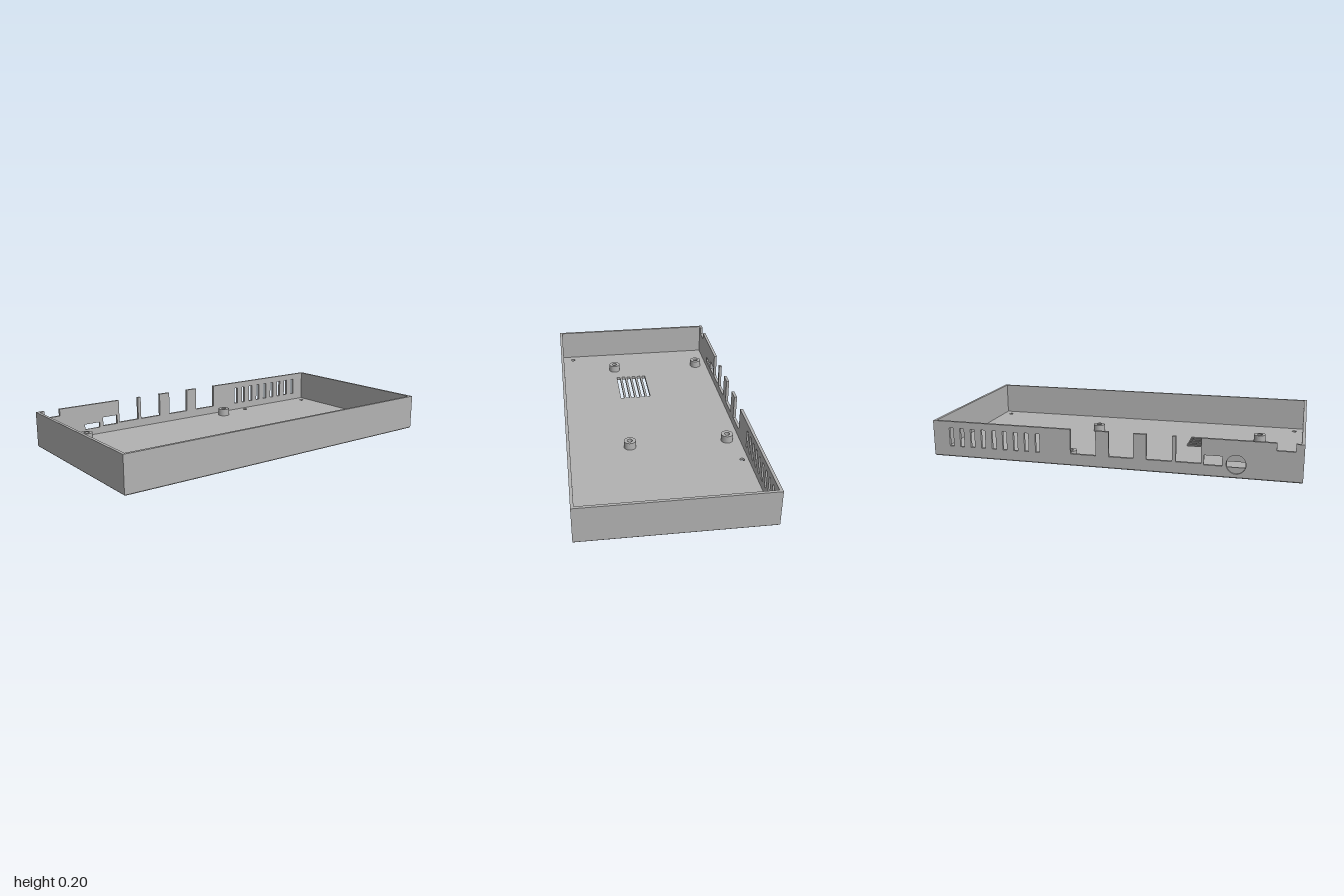
import * as THREE from 'three';

const W = 1, D = 0.5, H = 0.2, T = 0.016; // half width, half depth, height, wall
const FLOOR = 0.018, SKIN = 0.005;

const poly = (pts, Type = THREE.Path) => new Type(pts.map(([x, y]) => new THREE.Vector2(x, y)));
const rect = (x0, y0, x1, y1, Type) => poly([[x0, y0], [x1, y0], [x1, y1], [x0, y1]], Type);
const circle = (x, y, r, Type = THREE.Path) => new Type().absarc(x, y, r, 0, Math.PI * 2, false);

function extrude(shape, holes, depth) {
  shape.holes.push(...holes);
  return new THREE.ExtrudeGeometry(shape, { depth, bevelEnabled: false, curveSegments: 16 });
}

// Extrudes a plan drawn in (x, z) between two heights
function slab(shape, holes, y0, y1) {
  return extrude(shape, holes, y1 - y0).rotateX(Math.PI / 2).translate(0, y1, 0);
}

export function createModel() {
  const group = new THREE.Group();
  const grey = new THREE.MeshStandardMaterial({ color: 0xb2b2b2 });
  grey.name = 'grey plastic';
  const add = (name, geometry) => {
    const mesh = new THREE.Mesh(geometry, grey);
    mesh.name = name;
    group.add(mesh);
    return mesh;
  };

  const posts = [[-0.743, -0.41], [0.235, -0.41], [-0.743, 0.147], [0.235, 0.147]];
  const screws = [[0.443, -0.45], [0.936, -0.425], [-0.936, 0.42], [0.936, 0.42]];
  const grille = () => Array.from({ length: 6 }, (_, i) => {
    const z = -0.035 + i * 0.0332;
    return rect(-0.628, z - 0.01, -0.342, z + 0.01);
  });

  // Floor with screw holes and a ventilation grille
  add('floor', slab(rect(-W, -D, W, D, THREE.Shape),
    [...screws.map(([x, z]) => circle(x, z, 0.013)), ...grille()], SKIN, FLOOR));

  // Underside with chamfered rim and shallow recesses below posts and screws
  const under = slab(rect(-W, -D, W, D, THREE.Shape), [
    ...screws.map(([x, z]) => circle(x, z, 0.022)),
    ...posts.map(([x, z]) => circle(x, z, 0.043)),
    ...grille()], 0, SKIN);
  const p = under.attributes.position;
  for (let i = 0; i < p.count; i++) {
    if (p.getY(i) > SKIN / 2) continue;
    if (Math.abs(p.getX(i)) > 0.999) p.setX(i, Math.sign(p.getX(i)) * (W - SKIN));
    if (Math.abs(p.getZ(i)) > 0.499) p.setZ(i, Math.sign(p.getZ(i)) * (D - SKIN));
  }
  under.computeVertexNormals();
  add('underside', under);

  // Front and side walls as one U-shaped plan
  const b = -D + T;
  add('frontAndSideWalls', slab(poly([
    [-W, b], [-W + T, b], [-W + T, D - T], [W - T, D - T], [W - T, b], [W, b], [W, D], [-W, D],
  ], THREE.Shape), [], FLOOR, H));

  // Back wall: open notches [x0, x1, sill], port windows and vent slots
  const notches = [[-0.957, -0.866, 0.16], [-0.49, -0.36, 0.065], [-0.34, -0.205, 0.065],
    [-0.135, -0.003, 0.065], [0.068, 0.207, 0.065]];
  const wallShape = () => {
    const pts = [[W, FLOOR], [-W, FLOOR], [-W, H]];
    for (const [x0, x1, sill] of notches) pts.push([x0, H], [x0, sill], [x1, sill], [x1, H]);
    pts.push([W, H]);
    return poly(pts.reverse(), THREE.Shape);
  };
  const wallHoles = () => {
    const holes = [rect(-0.598, 0.06, -0.505, 0.112)];
    for (let i = 0; i < 9; i++) {
      const x = 0.392 + i * 0.0627;
      holes.push(rect(x - 0.012, 0.06, x + 0.012, 0.163));
    }
    return holes;
  };
  // The power port has a round recess outside and a slot inside
  add('backWallOuter', extrude(wallShape(), [...wallHoles(), circle(-0.668, 0.073, 0.05)], T / 2)
    .translate(0, 0, -D));
  add('backWallInner', extrude(wallShape(), [...wallHoles(), rect(-0.715, 0.056, -0.621, 0.086)], T / 2)
    .translate(0, 0, -D + T / 2));

  // Hollow mounting posts
  posts.forEach(([x, z], i) => {
    add('mountingPost' + (i + 1),
      slab(circle(x, z, 0.034, THREE.Shape), [circle(x, z, 0.015)], FLOOR, FLOOR + 0.042));
  });

  return group;
}
